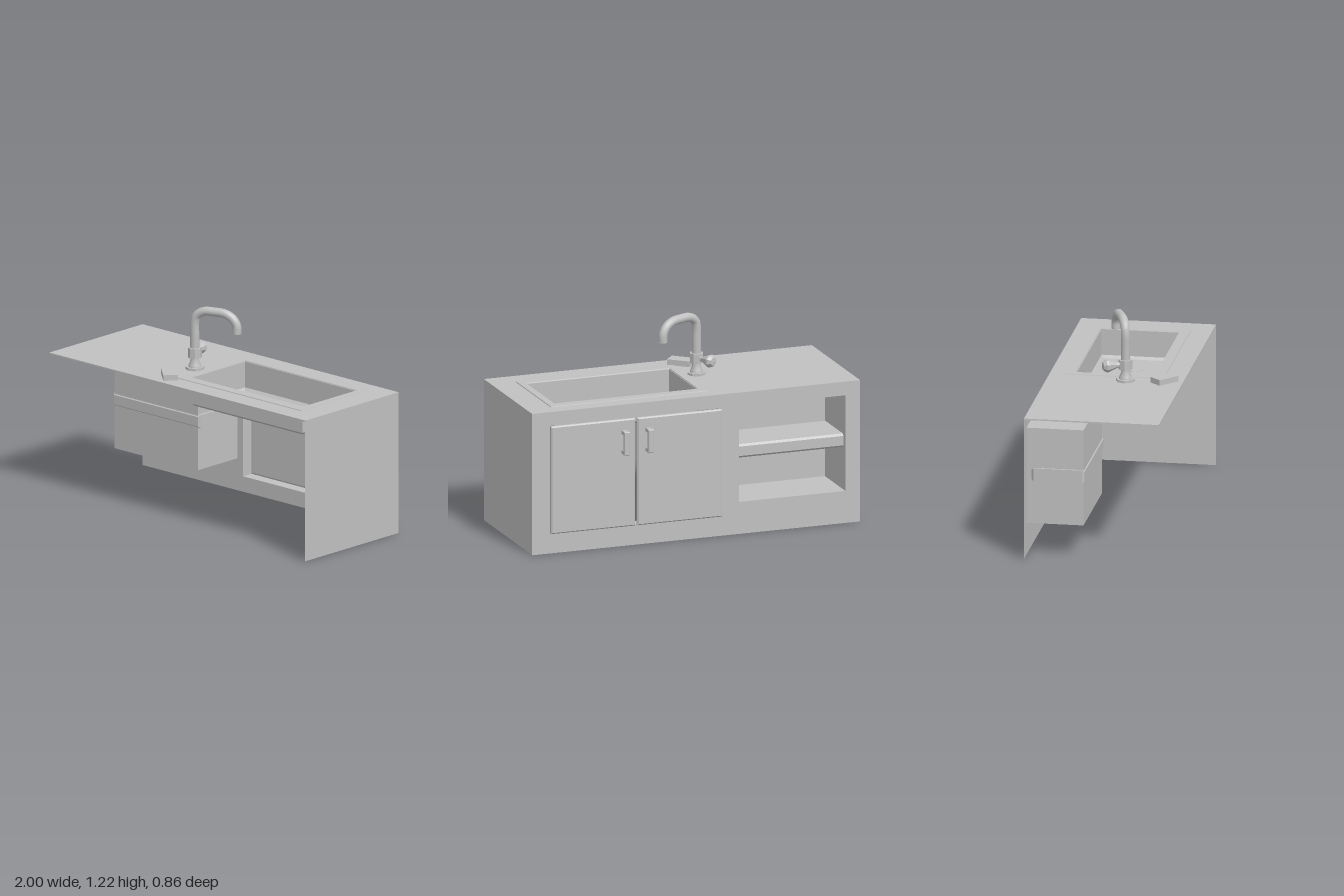
import * as THREE from 'three';

const grey = new THREE.MeshStandardMaterial({ color: 0xc0c0c0, side: THREE.DoubleSide });
grey.name = 'plain grey';

function add(parent, name, geometry, x = 0, y = 0, z = 0) {
  const mesh = new THREE.Mesh(geometry, grey);
  mesh.name = name;
  mesh.position.set(x, y, z);
  parent.add(mesh);
  return mesh;
}

// Rectangle path, usable as an outline or a hole
function rect(x0, x1, y0, y1, Type = THREE.Shape) {
  const p = new Type();
  p.moveTo(x0, y0);
  p.lineTo(x1, y0);
  p.lineTo(x1, y1);
  p.lineTo(x0, y1);
  p.closePath();
  return p;
}

// Flat-faced walls through rectangular rings [a0, a1, b0, b1, level]; the last may be closed
function loft(rings, place, closed) {
  const corners = rings.map(([a0, a1, b0, b1, c]) =>
    [[a0, b0], [a1, b0], [a1, b1], [a0, b1]].map(([a, b]) => place(a, b, c)));
  const pos = [];
  const quad = (a, b, c, d) => pos.push(...a, ...b, ...c, ...a, ...c, ...d);
  for (let i = 0; i + 1 < corners.length; i++) {
    for (let k = 0; k < 4; k++) {
      const n = (k + 1) % 4;
      quad(corners[i][k], corners[i + 1][k], corners[i + 1][n], corners[i][n]);
    }
  }
  if (closed) quad(...corners[corners.length - 1].slice().reverse());
  const g = new THREE.BufferGeometry();
  g.setAttribute('position', new THREE.Float32BufferAttribute(pos, 3));
  g.computeVertexNormals();
  return g;
}
const alongY = (a, b, c) => [a, c, b];
const alongZ = (a, b, c) => [a, b, c];

// Box with chamfered edges, centred on its origin
function chamferBox(w, h, d, c) {
  const g = new THREE.ExtrudeGeometry(rect(-w / 2 + c, w / 2 - c, -h / 2 + c, h / 2 - c), {
    depth: d - 2 * c, bevelThickness: c, bevelSize: c, bevelSegments: 1,
  });
  return g.translate(0, 0, -d / 2 + c);
}

// Turned part from [radius, height] pairs
const turned = (points, sides) =>
  new THREE.LatheGeometry(points.map(([r, y]) => new THREE.Vector2(r, y)), sides).toNonIndexed();

function lathe(points, sides) {
  const g = turned(points, sides);
  g.deleteAttribute('normal');
  g.computeVertexNormals();
  return g;
}

function buildCabinet(root) {
  const BACK = -0.35;
  const shelfHole = [-0.91, -0.26, 0.19, 0.757];
  const doorHole = [-0.15, 0.89, 0.12, 0.757];

  // Worktop with a cut-out for the basin
  const top = rect(-1, 1, -0.43, 0.35);
  top.holes.push(rect(-0.06, 0.805, -0.247, 0.2, THREE.Path));
  const topGeo = new THREE.ExtrudeGeometry(top, { depth: 0.008, bevelEnabled: false });
  add(root, 'worktop', topGeo.rotateX(-Math.PI / 2), 0, 0.83, 0);

  // Single end panel and the panel carrying the doors and open shelf
  add(root, 'endPanel', new THREE.PlaneGeometry(0.78, 0.83).rotateY(Math.PI / 2), 0.998, 0.415, 0.04);
  const panel = rect(-1, 1, 0, 0.83);
  panel.holes.push(rect(...shelfHole, THREE.Path), rect(...doorHole, THREE.Path));
  add(root, 'doorPanel', new THREE.ShapeGeometry(panel).rotateY(0), 0, 0, BACK);

  // Open compartment with its shelf, and the shallow frame behind the doors
  add(root, 'shelfCompartment', loft([[...shelfHole, BACK], [...shelfHole, -0.02]], alongZ, true));
  add(root, 'shelf', chamferBox(0.68, 0.08, 0.305, 0.012), -0.582, 0.48, -0.167);
  add(root, 'doorFrame', loft([[...doorHole, -0.28], [...doorHole, BACK]], alongZ, false));

  // Doors and their bracket handles
  for (const [x0, x1, handleX] of [[-0.15, 0.367, 0.303], [0.38, 0.893, 0.45]]) {
    const door = new THREE.Group();
    door.name = 'door';
    root.add(door);
    add(door, 'doorLeaf', chamferBox(x1 - x0, 0.637, 0.027, 0.007), (x0 + x1) / 2, 0.4385, -0.3635);
    add(door, 'handleBar', chamferBox(0.034, 0.138, 0.022, 0.004), handleX, 0.626, -0.419);
    for (const y of [0.568, 0.684]) {
      add(door, 'handleFoot', new THREE.BoxGeometry(0.03, 0.02, 0.05), handleX, y, -0.395);
    }
  }
}

function buildSink(root) {
  // Raised rim running down into the basin
  add(root, 'basin', loft([
    [-0.108, 0.853, -0.26, 0.31, 0.837],
    [-0.106, 0.851, -0.258, 0.308, 0.843],
    [-0.065, 0.81, -0.205, 0.252, 0.843],
    [-0.06, 0.805, -0.2, 0.247, 0.83],
    [-0.06, 0.805, -0.2, 0.247, 0.685],
    [-0.045, 0.79, -0.183, 0.23, 0.67],
  ], alongY, true));
  add(root, 'drain', new THREE.CylinderGeometry(0.055, 0.055, 0.008, 24), 0.61, 0.668, 0.025);
}

function buildTap(root) {
  const tap = new THREE.Group();
  tap.name = 'tap';
  tap.position.set(-0.172, 0.838, 0.1);
  root.add(tap);

  // Faceted foot and collar
  add(tap, 'tapFoot', lathe([[0, 0], [0.054, 0], [0.054, 0.014], [0, 0.014]], 8));
  add(tap, 'tapNeck', turned([[0.037, 0.014], [0.035, 0.028], [0.025, 0.05], [0.025, 0.075]], 16));
  add(tap, 'tapCollar', lathe([[0, 0.07], [0.04, 0.07], [0.04, 0.127], [0, 0.127]], 8));

  // Swan-neck spout, swung over the basin
  const reach = [[0, 0.1], [0, 0.2], [0, 0.28], [0.012, 0.32], [0.055, 0.347], [0.12, 0.351],
    [0.19, 0.345], [0.235, 0.318], [0.256, 0.28], [0.257, 0.237]];
  const path = new THREE.CatmullRomCurve3(
    reach.map(([r, y]) => new THREE.Vector3(r * 0.935, y, -r * 0.37)));
  add(tap, 'spout', new THREE.TubeGeometry(path, 36, 0.026, 14));
  const end = add(tap, 'spoutEnd', new THREE.CircleGeometry(0.026, 14).rotateX(Math.PI / 2),
    0.24, 0.237, -0.095);
  end.scale.set(1, 1, 1);

  // Flared turning knob
  const knob = add(tap, 'tapKnob', lathe(
    [[0, 0.02], [0.016, 0.02], [0.016, 0.05], [0.038, 0.105], [0.038, 0.115], [0.024, 0.134], [0, 0.136]], 8),
  0, 0.098, 0);
  knob.quaternion.setFromUnitVectors(new THREE.Vector3(0, 1, 0),
    new THREE.Vector3(-0.43, 0, -0.9).normalize());
}

export function createModel() {
  const root = new THREE.Group();
  root.name = 'sinkUnit';
  buildCabinet(root);
  buildSink(root);
  buildTap(root);

  // Bar of soap beside the tap
  const soap = add(root, 'soap', new THREE.BoxGeometry(0.137, 0.033, 0.083), -0.16, 0.8545, 0.324);
  soap.rotation.y = -0.73;
  return root;
}
